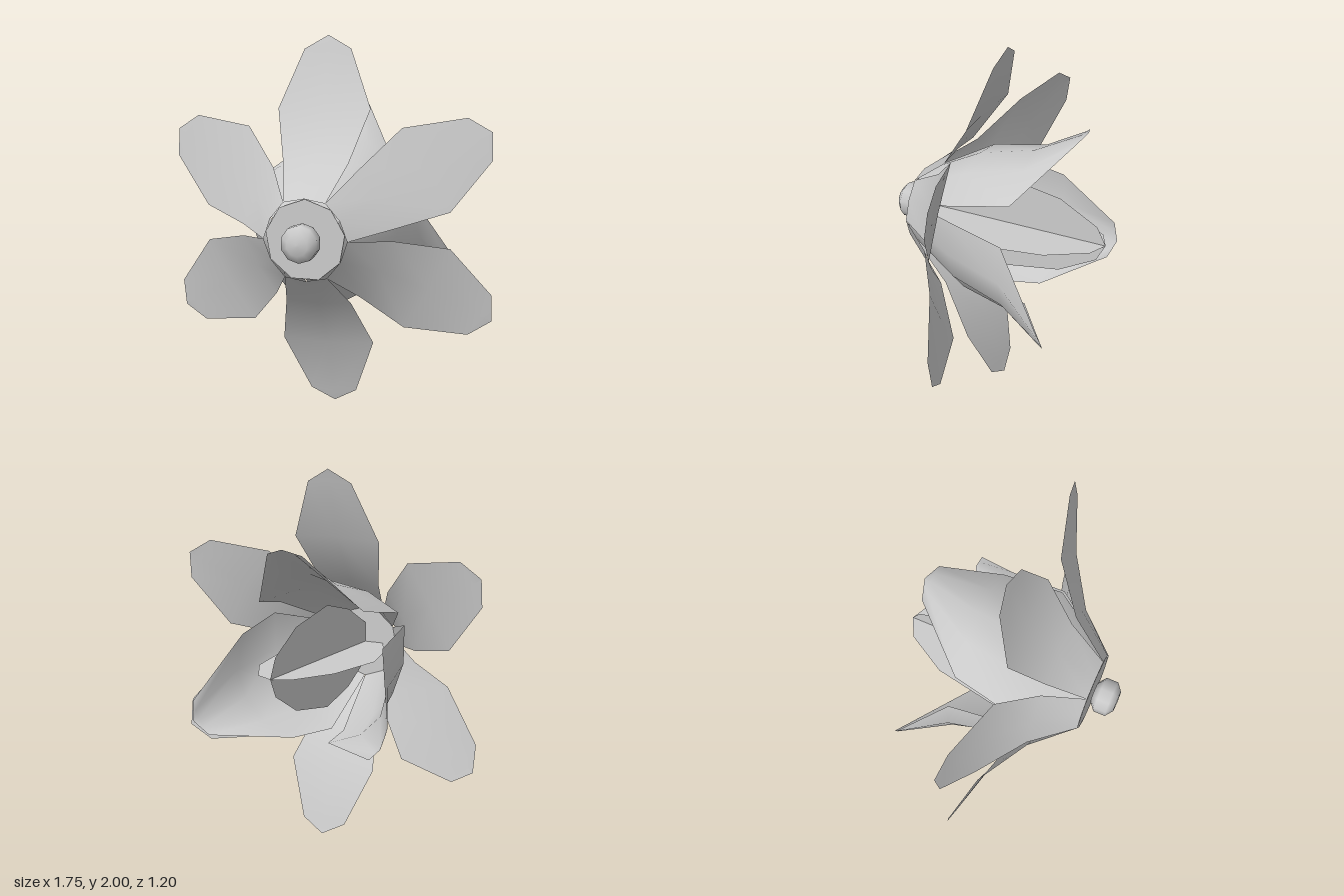
import * as THREE from 'three';

const material = new THREE.MeshStandardMaterial({ color: 0xcccccc, side: THREE.DoubleSide });

// Petal growing along +y, from rows of [z, centre radius, half width, edge radius]
function petalGeometry(rows, cols) {
  const pos = [], idx = [];
  for (const [z, yc, half, ye] of rows) {
    for (let i = 0; i <= cols; i++) {
      const u = (i / cols) * 2 - 1;
      pos.push(half * u, yc + (ye - yc) * u * u, z);
    }
  }
  const n = cols + 1;
  for (let r = 0; r < rows.length - 1; r++) {
    for (let i = 0; i < cols; i++) {
      const a = r * n + i, b = a + 1, c = a + n, d = c + 1;
      idx.push(a, b, d);
      idx.push(a, d, c);
    }
  }
  const g = new THREE.BufferGeometry();
  g.setAttribute('position', new THREE.Float32BufferAttribute(pos, 3));
  g.setIndex(idx);
  g.computeVertexNormals();
  return g;
}

export function createModel() {
  const model = new THREE.Group();
  const flower = new THREE.Group();
  flower.name = 'flower';
  flower.position.y = 1;
  model.add(flower);

  const add = (name, geometry, turn = 0) => {
    const mesh = new THREE.Mesh(geometry, material);
    mesh.name = name;
    mesh.rotation.z = turn;
    flower.add(mesh);
    return mesh;
  };

  // Six spreading outer petals
  const outer = petalGeometry([
    [0.46, 0.21, 0.11, 0.19],
    [0.25, 0.38, 0.175, 0.365],
    [0.08, 0.64, 0.25, 0.625],
    [-0.01, 0.94, 0.127, 0.93],
    [-0.03, 1.0, 0, 1.0],
  ], 2);
  for (let i = 0; i < 6; i++) add('outerPetal', outer, (i * Math.PI) / 3 + 0.018);

  // Three broad, cupped inner petals
  const inner = petalGeometry([
    [0.46, 0.2, 0.17, 0.1],
    [0.12, 0.385, 0.36, 0.25],
    [-0.19, 0.47, 0.31, 0.3],
    [-0.45, 0.615, 0.1, 0.6],
    [-0.48, 0.63, 0, 0.63],
  ], 4);
  for (let i = 0; i < 3; i++) add('innerPetal', inner, (i * Math.PI * 2) / 3);

  // Heart of the flower: two flat blades crossing on the axis
  const side = [[0.11, 0.46], [0.22, 0.25], [0.28, 0], [0.22, -0.34], [0.1, -0.55]];
  const outline = [
    ...side,
    [0, -0.6],
    ...side.map(([x, z]) => [-x, z]).reverse(),
  ].map(([x, z]) => new THREE.Vector2(x, z));
  const blade = new THREE.ShapeGeometry(new THREE.Shape(outline)).rotateX(Math.PI / 2);
  add('heartBladeFlat', blade);
  add('heartBladeUpright', blade, Math.PI / 2);

  // Nine-sided base plate
  const plate = new THREE.CircleGeometry(0.21, 9, Math.PI / 2);
  add('basePlate', plate).position.z = 0.46;

  // Rounded stem knob in front of the plate
  const profile = [[0, 0.465], [0.055, 0.467], [0.096, 0.5], [0.096, 0.565], [0.055, 0.597], [0, 0.6]]
    .map(([r, z]) => new THREE.Vector2(r, z));
  add('stemKnob', new THREE.LatheGeometry(profile, 10).rotateX(Math.PI / 2));

  return model;
}
